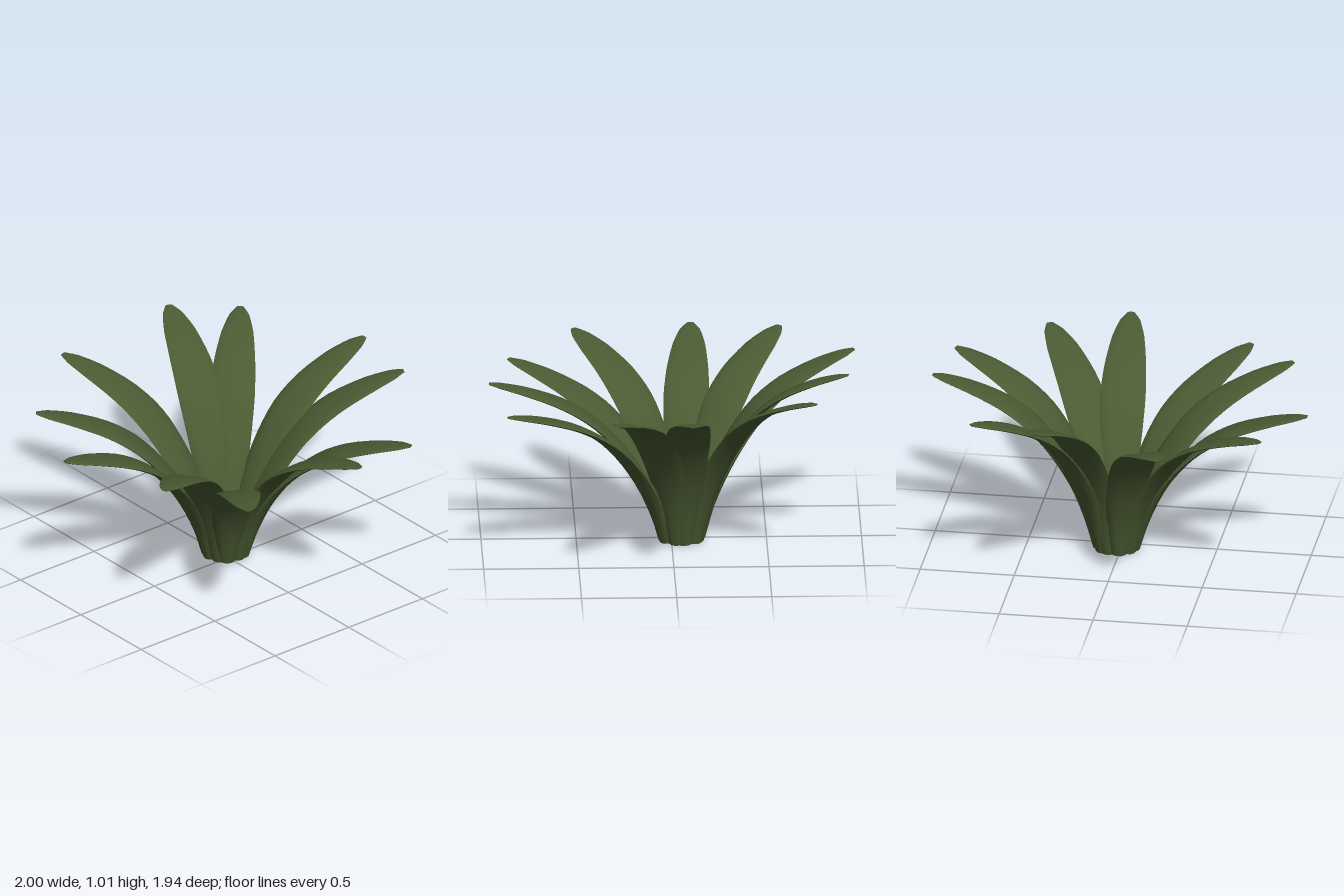
import * as THREE from 'three';
import { toCreasedNormals } from 'three/addons/utils/BufferGeometryUtils.js';

const SIDES = 12, STEPS = 24;

// Leaf stations: reach (0..1), height (0..1), half width, thickness
const STATIONS = [
  [0.125, 0.01, 0.05, 0.09],
  [0.175, 0.20, 0.075, 0.08],
  [0.25, 0.40, 0.10, 0.06],
  [0.35, 0.58, 0.114, 0.045],
  [0.47, 0.73, 0.12, 0.036],
  [0.62, 0.845, 0.11, 0.03],
  [0.81, 0.935, 0.085, 0.022],
  [0.94, 0.98, 0.052, 0.016],
  [1.0, 1.0, 0.018, 0.008],
];

// Tip of each leaf: x, y, z
const TIPS = [
  [0.11, 0.90, 0.96], [0.53, 0.85, 0.87], [0.94, 0.93, 0.31], [1.0, 0.945, -0.09],
  [0.69, 0.96, -0.74], [0.35, 1.01, -0.92], [-0.33, 0.93, -0.97], [-0.82, 0.90, -0.59],
  [-1.0, 0.86, -0.13], [-0.83, 0.89, 0.49], [-0.55, 0.82, 0.84],
];
const CENTRE = [0.03, -0.06];

// Closed, arching leaf that grows along +z, thick at its base and thin at its tip
function leafGeometry(reach, height) {
  const path = new THREE.CatmullRomCurve3(STATIONS.map(([r, y]) => new THREE.Vector3(0, y * height, r * reach)));
  const size = new THREE.CatmullRomCurve3(STATIONS.map(([, , w, t]) => new THREE.Vector3(w, t, 0)));
  const positions = [], index = [];
  const addRing = (u, scale) => {
    const p = path.getPoint(u), d = path.getTangent(u), s = size.getPoint(u);
    for (let j = 0; j < SIDES; j++) {
      const a = (j / SIDES) * Math.PI * 2;
      const lift = (s.y / 2) * (1 + Math.sin(a) * scale);
      positions.push(s.x * Math.cos(a) * scale, Math.max(0, p.y + d.z * lift), p.z - d.y * lift);
    }
  };
  addRing(0, 0); // closed base
  for (let i = 0; i <= STEPS; i++) addRing(i / STEPS, 1);
  addRing(1, 0); // closed tip
  const last = STEPS + 1;
  for (let i = 0; i <= last; i++) {
    for (let j = 0; j < SIDES; j++) {
      const k = (j + 1) % SIDES;
      const a = i * SIDES + j, b = i * SIDES + k, c = a + SIDES, e = b + SIDES;
      if (i > 0) index.push(a, b, c);
      if (i < last) index.push(b, e, c);
    }
  }
  const geometry = new THREE.BufferGeometry();
  geometry.setAttribute('position', new THREE.Float32BufferAttribute(positions, 3));
  geometry.setIndex(index);
  return toCreasedNormals(geometry, 1.0);
}

export function createModel() {
  const group = new THREE.Group();
  group.name = 'leafRosette';
  const leafGreen = new THREE.MeshStandardMaterial({ color: 0x4a5b33 });
  leafGreen.name = 'leafGreen';

  // Rosette of leaves round a small open middle
  TIPS.forEach(([x, y, z], i) => {
    const dx = x - CENTRE[0], dz = z - CENTRE[1];
    const leaf = new THREE.Mesh(leafGeometry(Math.hypot(dx, dz), y), leafGreen);
    leaf.name = `leaf${i + 1}`;
    leaf.position.set(CENTRE[0], 0, CENTRE[1]);
    leaf.rotation.y = Math.atan2(dx, dz);
    group.add(leaf);
  });
  return group;
}
